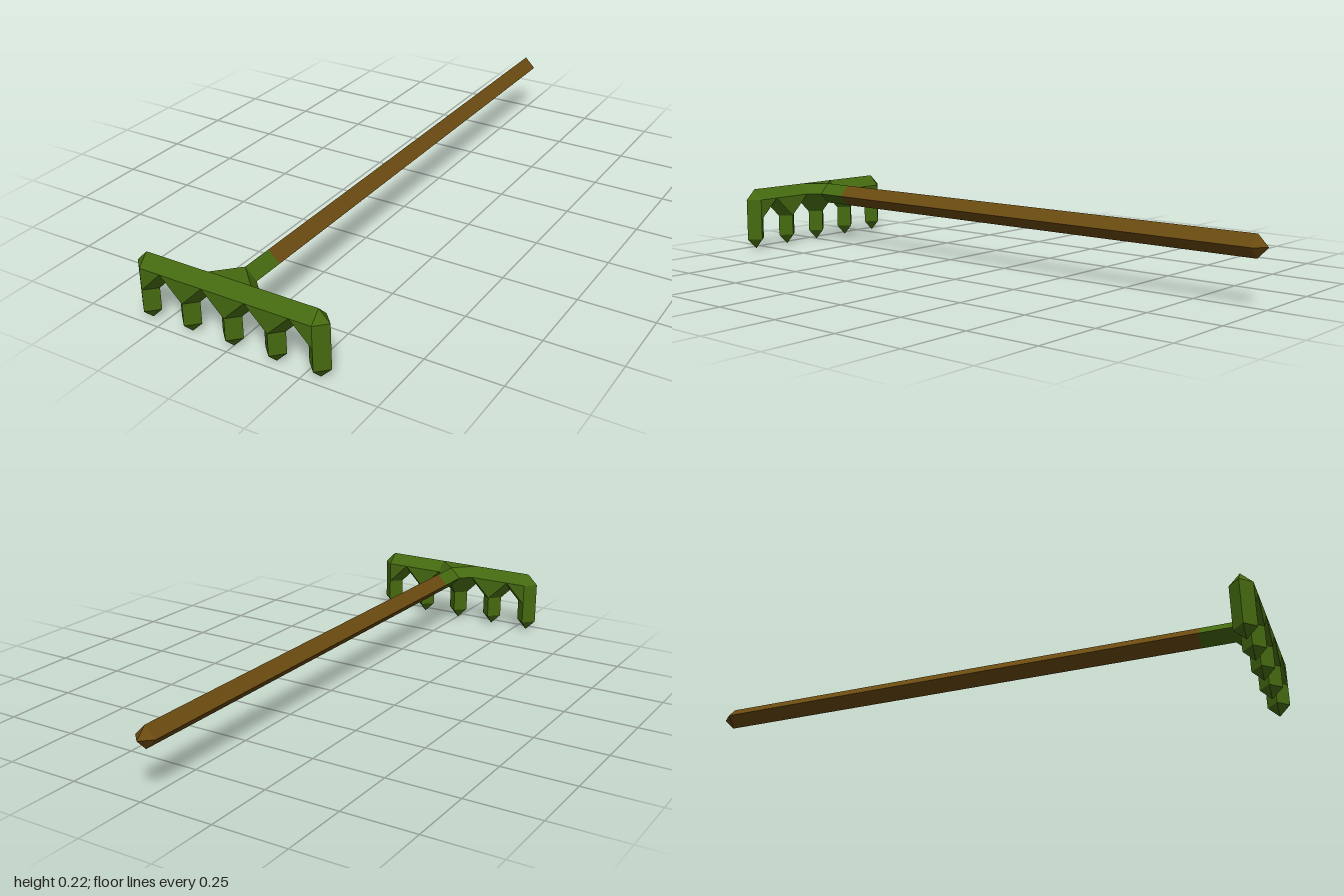
import * as THREE from 'three';
import { ConvexGeometry } from 'three/addons/geometries/ConvexGeometry.js';

// One module is the thickness of every bar; the rake is 27 modules long.
const U = 2 / 27;
const BAR_Y = 2.5 * U;
const BAR_Z = 13 * U;

const green = new THREE.MeshStandardMaterial({ color: 0x456a10, flatShading: true });
const brown = new THREE.MeshStandardMaterial({ color: 0x6a4a10, flatShading: true });

// Diamond-section rod along y from a to b, with optional pointed ends
function rod(a, b, tipA, tipB) {
  const r = U / 2;
  const profile = [new THREE.Vector2(r, a), new THREE.Vector2(r, b)];
  if (tipA) profile.unshift(new THREE.Vector2(0, a - r));
  if (tipB) profile.push(new THREE.Vector2(0, b + r));
  return new THREE.LatheGeometry(profile, 4);
}

// Web filling the corner between unit directions p and q, bevelled along n
function webGeometry(p, q, n) {
  const at = (a, b, c) => new THREE.Vector3()
    .addScaledVector(p, a * U).addScaledVector(q, b * U).addScaledVector(n, c * U);
  const points = [at(1, 0.5, 0), at(0.5, 1, 0)];
  for (const s of [-0.5, 0.5]) points.push(at(0, 0, s), at(1, 0, s), at(0, 1, s));
  return new ConvexGeometry(points);
}

// Solid filling the corner between three mutually square directions
function cornerGeometry(dirs) {
  const points = [new THREE.Vector3()];
  for (const a of dirs) {
    for (const b of dirs) {
      if (a !== b) points.push(a.clone().addScaledVector(b, 0.5).multiplyScalar(U));
    }
  }
  return new ConvexGeometry(points);
}

export function createModel() {
  const rake = new THREE.Group();
  rake.name = 'rake';
  const head = new THREE.Group();
  head.name = 'head';
  head.position.set(0, BAR_Y, BAR_Z);
  rake.add(head);

  const add = (parent, name, geometry, material) => {
    const mesh = new THREE.Mesh(geometry, material);
    mesh.name = name;
    parent.add(mesh);
    return mesh;
  };

  const X = new THREE.Vector3(1, 0, 0);
  const Y = new THREE.Vector3(0, 1, 0);
  const Z = new THREE.Vector3(0, 0, 1);
  const down = Y.clone().negate();
  const back = Z.clone().negate();

  // Crossbar, its ends closed by the outer teeth
  add(head, 'crossbar', rod(-4 * U, 4 * U).rotateZ(-Math.PI / 2), green);

  // Five pointed teeth with webs up to the crossbar
  for (let i = -4; i <= 4; i += 2) {
    add(head, 'tooth', rod(-2 * U, 0, true, true), green).position.x = i * U;
    for (const side of [-1, 1]) {
      if (Math.abs(i + side) > 4) continue;
      const across = X.clone().multiplyScalar(side);
      add(head, 'toothWeb', webGeometry(across, down, Z), green).position.x = i * U;
    }
  }

  // Socket and the braces joining it to the crossbar and middle tooth
  add(head, 'socket', rod(-2.5 * U, 0).rotateX(Math.PI / 2), green);
  for (const side of [-1, 1]) {
    const across = X.clone().multiplyScalar(side);
    add(head, 'socketWeb', webGeometry(across, back, Y), green);
    add(head, 'socketBrace', cornerGeometry([across, down, back]), green);
  }

  // Long wooden handle with a pointed end
  const handle = rod(-13 * U, 10.5 * U, true, false).rotateX(Math.PI / 2);
  add(rake, 'handle', handle, brown).position.y = BAR_Y;

  return rake;
}
